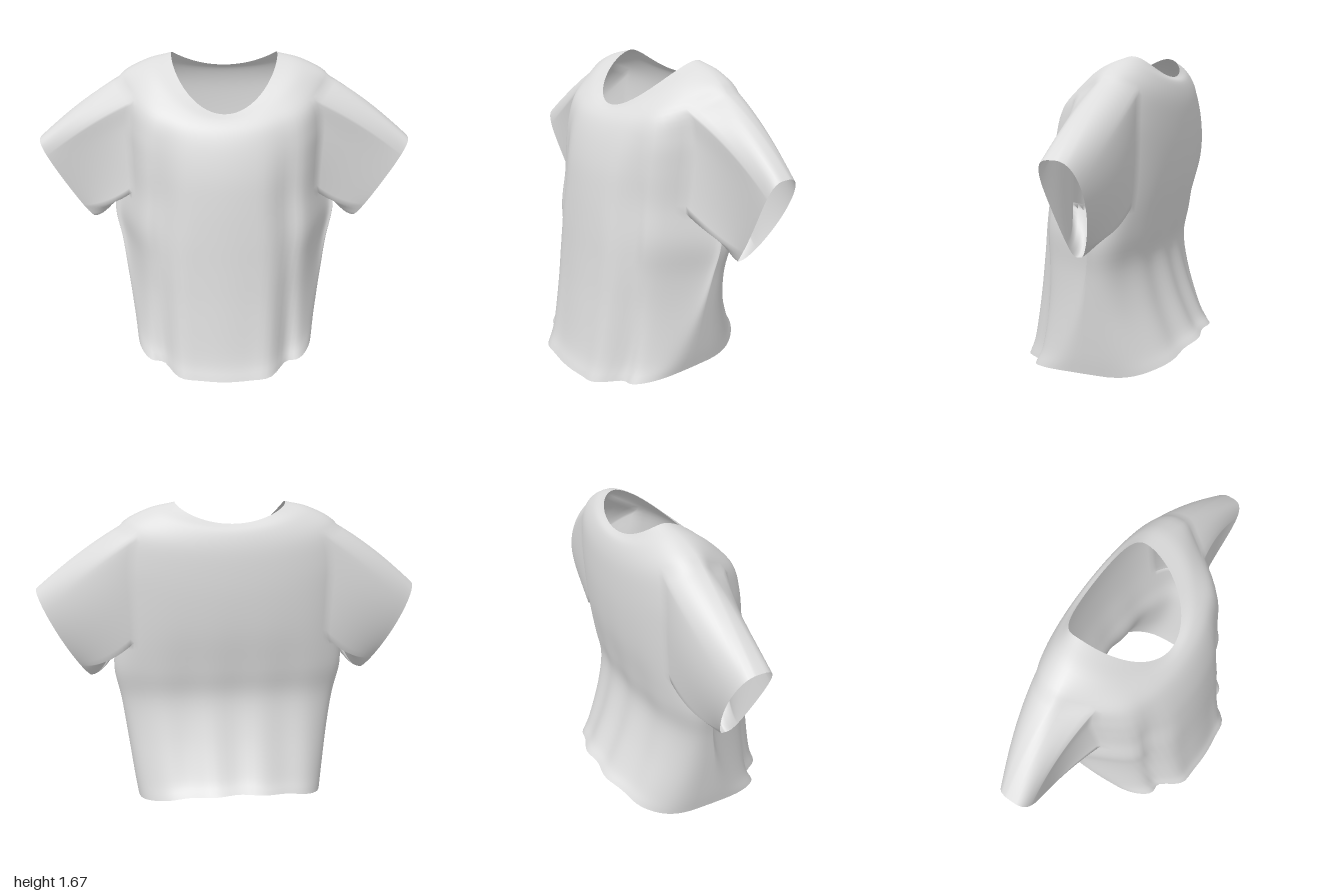
import * as THREE from 'three';

const COLS = 96, STEPS = 5;            // columns around, rows per section
const HALF = 9, LOW = 24, HIGH = 40;   // armhole size in columns and rows
const SLEEVE = 14;                     // rings along each sleeve

// Cross-sections from hem to neckline:
// half width, side z, front z, back z, front y, side y, back y,
// front roundness, back roundness, pinch toward the underarm
const SECTIONS = [
  [0.515, 0.00, 0.485, -0.49, 0.00, 0.07, 0.19, 0.65, 0.5, 0],
  [0.535, -0.01, 0.445, -0.43, 0.12, 0.19, 0.26, 0.8, 0.55, 0.2],
  [0.565, -0.03, 0.405, -0.345, 0.40, 0.42, 0.45, 1, 0.65, 0.6],
  [0.59, -0.06, 0.382, -0.295, 0.62, 0.62, 0.65, 1, 0.7, 0.9],
  [0.62, -0.08, 0.365, -0.32, 0.82, 0.80, 0.82, 1, 0.7, 1],
  [0.60, -0.10, 0.347, -0.355, 1.00, 1.00, 1.02, 1, 0.7, 1],
  [0.60, -0.11, 0.325, -0.37, 1.15, 1.20, 1.20, 1, 0.7, 1],
  [0.60, -0.12, 0.29, -0.37, 1.28, 1.38, 1.35, 1, 0.7, 0.9],
  [0.56, -0.13, 0.25, -0.36, 1.37, 1.55, 1.46, 1, 0.7, 0.5],
  [0.42, -0.15, 0.205, -0.335, 1.42, 1.635, 1.54, 1, 0.7, 0],
  [0.28, -0.17, 0.16, -0.30, 1.44, 1.67, 1.57, 1, 0.7, 0],
];
const ROWS = (SECTIONS.length - 1) * STEPS;

const bump = (x, centre, width) => Math.exp(-(((x - centre) / width) ** 2));

function sectionPoint([w, zs, zf, zb, yf, ys, yb, roundF, roundB, pinch], angle) {
  const s = Math.sin(angle), a = Math.abs(s), front = s > 0;
  const rise = a ** 1.5;
  const tuck = 1 - pinch * (1 - THREE.MathUtils.smoothstep(a, 0.2, 0.8));
  const depth = front ? (zf - zs) * a ** roundF * tuck : (zb - zs) * a ** roundB;
  return new THREE.Vector3(
    w * Math.cos(angle),
    ys + ((front ? yf : yb) - ys) * rise,
    zs + depth,
  );
}

// Hanging folds, deepest at the hem and fading toward the chest
function drape(p, angle) {
  const fade = THREE.MathUtils.clamp(1 - p.y / 1.35, 0, 1);
  const s = Math.sin(angle), x = Math.abs(p.x);
  if (s > 0) {
    p.z += fade * s * (0.02 * bump(x, 0.24, 0.07) - 0.085 * bump(x, 0.35, 0.055));
    p.z -= 0.03 * s * bump(x, 0.31, 0.07) * bump(p.y, 1.0, 0.3);
  } else {
    p.z -= s * 0.01 * Math.cos(p.x * 24 + 0.6) * (0.25 + fade) * bump(p.y, 0.35, 0.5);
  }
  return p;
}

export function createModel() {
  const points = [];
  const id = (row, col) => row * COLS + ((col + COLS) % COLS);

  // Body grid
  for (let j = 0; j < COLS; j++) {
    const angle = (j / COLS) * Math.PI * 2;
    const column = new THREE.CatmullRomCurve3(
      SECTIONS.map((section) => sectionPoint(section, angle)), false, 'catmullrom', 0.5);
    for (let i = 0; i <= ROWS; i++) points[id(i, j)] = drape(column.getPoint(i / ROWS), angle);
  }

  // Body faces, leaving an armhole on each side
  const bodyFaces = [];
  const inArmhole = (i, j) => i >= LOW && i < HIGH && [0, COLS / 2, COLS].some(
    (c) => j >= c - HALF && j < c + HALF);
  for (let i = 0; i < ROWS; i++) {
    for (let j = 0; j < COLS; j++) {
      if (inArmhole(i, j)) continue;
      const a = id(i, j), b = id(i, j + 1), c = id(i + 1, j + 1), d = id(i + 1, j);
      bodyFaces.push(a, d, c, a, c, b);
    }
  }

  // Sleeve grown from the armhole edge to a slanted, teardrop-shaped cuff
  function sleeveFaces(middle, side) {
    const loop = [], faces = [];
    for (let i = LOW; i < HIGH; i++) loop.push(id(i, middle - HALF));
    for (let j = -HALF; j < HALF; j++) loop.push(id(HIGH, middle + j));
    for (let i = HIGH; i > LOW; i--) loop.push(id(i, middle + HALF));
    for (let j = HALF; j > -HALF; j--) loop.push(id(LOW, middle + j));

    const n = loop.length;
    let previous = loop;
    for (let r = 1; r <= SLEEVE; r++) {
      const t = r / SLEEVE;
      const ring = loop.map((start) => {
        const p = points[start];
        const around = Math.atan2((p.z + 0.1) / 0.17, (p.y - 1.25) / 0.3);
        const h = (Math.cos(around) + 1) / 2, s = Math.sin(around);
        const cuff = new THREE.Vector3(
          side * (0.74 + 0.26 * h ** 0.85),
          0.75 + 0.48 * h,
          -0.09 - 0.1 * h * (1 - h)
            + 0.115 * Math.sign(s) * Math.abs(s) ** 0.65 * (0.42 + 0.6 * h),
        );
        const q = p.clone().lerp(cuff, t);
        const belly = 4 * t * (1 - t);
        q.y += belly * (0.02 * h - 0.05 * (1 - h) ** 2);
        q.z -= belly * 0.022 * Math.abs(s);
        return points.push(q) - 1;
      });
      for (let k = 0; k < n; k++) {
        const m = (k + 1) % n;
        faces.push(previous[k], previous[m], ring[m], previous[k], ring[m], ring[k]);
      }
      previous = ring;
    }
    return faces;
  }
  const leftFaces = sleeveFaces(0, 1);
  const rightFaces = sleeveFaces(COLS / 2, -1);

  // Shared smooth normals keep the sleeve joins seamless
  const whole = new THREE.BufferGeometry().setFromPoints(points);
  whole.setIndex([...bodyFaces, ...leftFaces, ...rightFaces]);
  whole.computeVertexNormals();

  const cloth = new THREE.MeshStandardMaterial({ color: 0xdcdcdc, side: THREE.DoubleSide });
  cloth.name = 'light grey cloth';

  const group = new THREE.Group();
  group.name = 'shirt';
  const parts = { body: bodyFaces, leftSleeve: leftFaces, rightSleeve: rightFaces };
  for (const [name, faces] of Object.entries(parts)) {
    const geometry = new THREE.BufferGeometry();
    geometry.setAttribute('position', whole.getAttribute('position'));
    geometry.setAttribute('normal', whole.getAttribute('normal'));
    geometry.setIndex(faces);
    const mesh = new THREE.Mesh(geometry, cloth);
    mesh.name = name;
    group.add(mesh);
  }
  return group;
}
